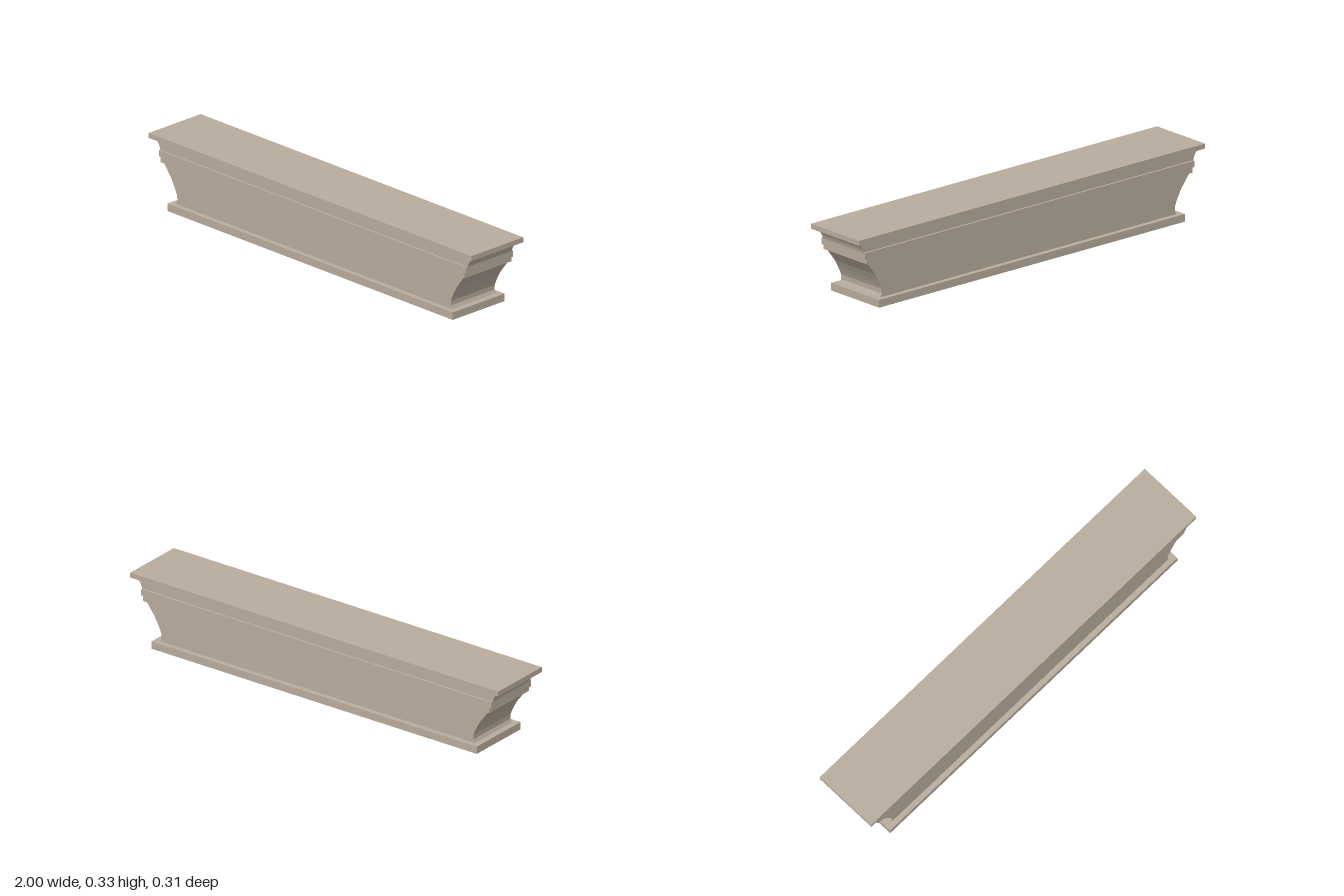
import * as THREE from 'three';

const material = new THREE.MeshStandardMaterial({ color: 0xb8ab9c, flatShading: true });

// Mirrors a right-hand [x, y] profile and extrudes it to the given half depth
function moulding(name, profile, halfDepth) {
  const left = profile.map(([x, y]) => [-x, y]).reverse();
  const shape = new THREE.Shape([...profile, ...left].map(([x, y]) => new THREE.Vector2(x, y)));
  const geometry = new THREE.ExtrudeGeometry(shape, { depth: 2 * halfDepth, bevelEnabled: false });
  geometry.translate(0, 0, -halfDepth);
  const mesh = new THREE.Mesh(geometry, material);
  mesh.name = name;
  return mesh;
}

// Straight block between two heights
const slab = (name, halfWidth, y0, y1, halfDepth) =>
  moulding(name, [[halfWidth, y0], [halfWidth, y1]], halfDepth);

export function createModel() {
  const group = new THREE.Group();
  group.name = 'corniceBlock';
  group.add(
    slab('basePlinth', 0.884, 0, 0.035, 0.157),
    // Body with concave ends
    moulding('body', [
      [0.855, 0.035], [0.847, 0.05], [0.848, 0.072], [0.855, 0.09],
      [0.867, 0.115], [0.884, 0.145], [0.922, 0.195], [0.934, 0.207],
    ], 0.133),
    // Two-step band
    slab('lowerBand', 0.942, 0.207, 0.231, 0.142),
    slab('upperBand', 0.952, 0.231, 0.26, 0.142),
    // Small cove under the top
    moulding('cove', [
      [0.953, 0.26], [0.957, 0.273], [0.963, 0.285], [0.972, 0.296], [0.988, 0.308],
    ], 0.133),
    slab('topPlate', 1, 0.308, 0.331, 0.157),
  );
  return group;
}
